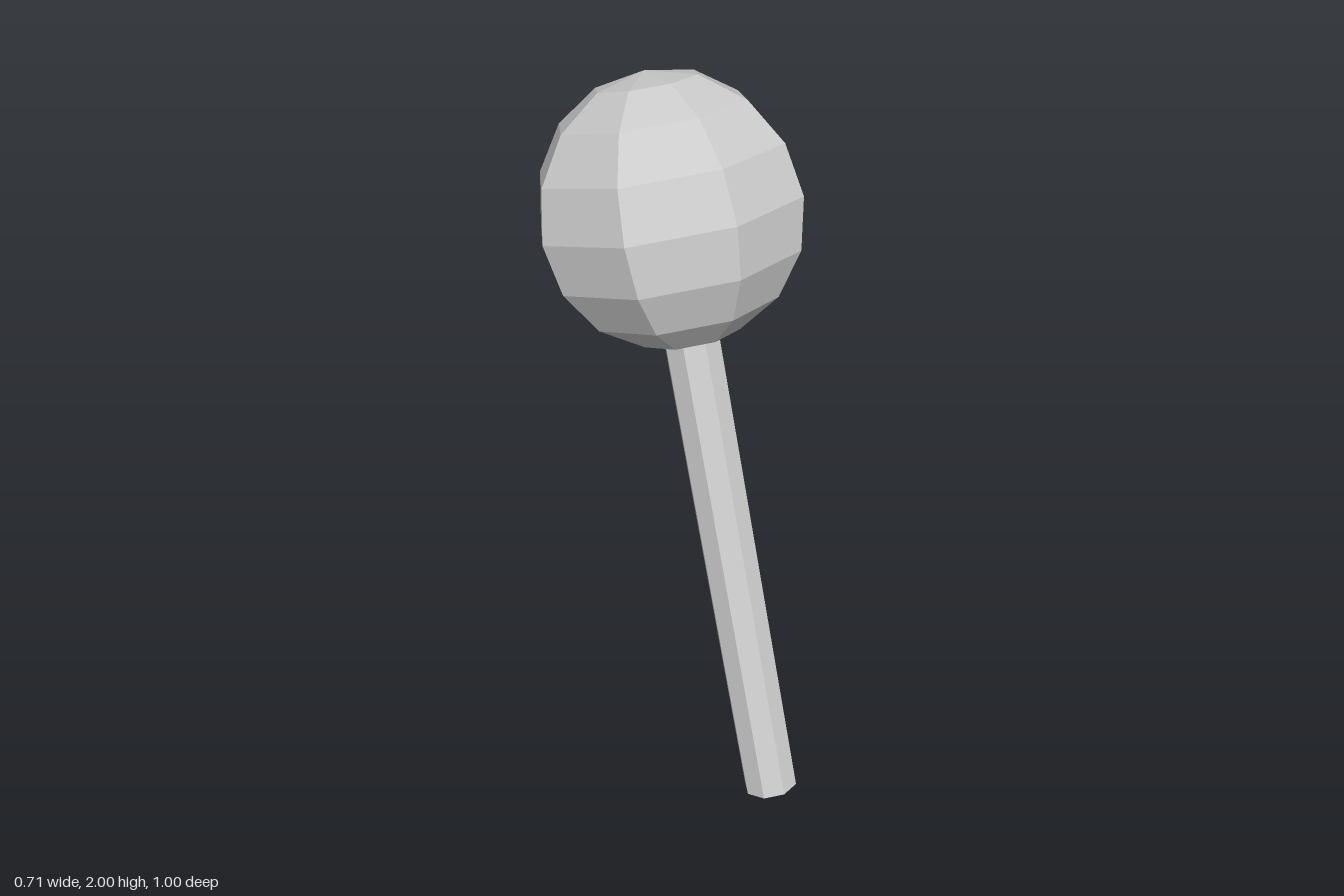
import * as THREE from 'three';

export function createModel() {
  const model = new THREE.Group();
  const material = new THREE.MeshStandardMaterial({
    color: 0xcccccc, flatShading: true, side: THREE.DoubleSide,
  });

  // Everything shares one axis, leaning towards the back
  const leaning = new THREE.Group();
  leaning.name = 'leaningAssembly';
  leaning.position.set(0, 0.026, 0.427);
  leaning.rotation.x = THREE.MathUtils.degToRad(-19.5);
  model.add(leaning);

  // Octagonal handle, reaching just inside the head
  const length = 1.42;
  const handle = new THREE.Mesh(new THREE.CylinderGeometry(0.077, 0.077, length, 8), material);
  handle.name = 'handle';
  handle.position.y = length / 2;
  leaning.add(handle);

  // Eight-sided ball head, open at the bottom around the handle
  const head = new THREE.Mesh(
    new THREE.SphereGeometry(0.357, 8, 7, 0, Math.PI * 2, 0, Math.PI * 7 / 8), material);
  head.name = 'head';
  head.position.y = 1.715;
  leaning.add(head);

  return model;
}
